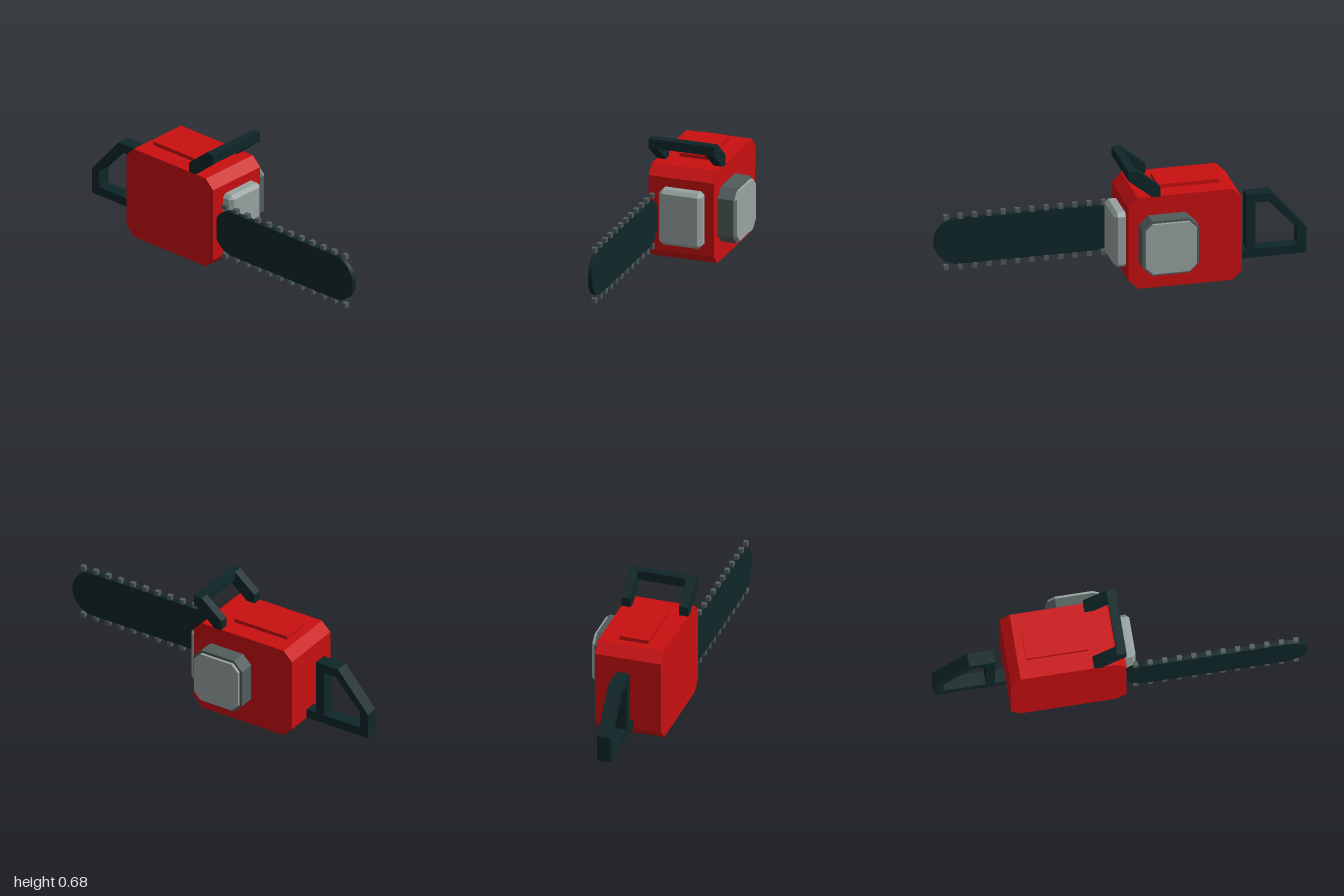
import * as THREE from 'three';

const paint = (name, color) => {
  const m = new THREE.MeshStandardMaterial({ color });
  m.name = name;
  return m;
};

// Rectangle outline with cut corners
function cutRect(x0, x1, y0, y1, c) {
  return [[x0 + c, y0], [x1 - c, y0], [x1, y0 + c], [x1, y1 - c],
    [x1 - c, y1], [x0 + c, y1], [x0, y1 - c], [x0, y0 + c]];
}

const toShape = (pts) => new THREE.Shape(pts.map(([x, y]) => new THREE.Vector2(x, y)));

// Straight extrusion of a shape between two depths
function slab(shape, z0, z1) {
  const g = new THREE.ExtrudeGeometry(shape, { depth: z1 - z0, bevelEnabled: false, curveSegments: 16 });
  return g.translate(0, 0, z0);
}

function box(x0, x1, y0, y1, z0, z1) {
  return new THREE.BoxGeometry(x1 - x0, y1 - y0, z1 - z0)
    .translate((x0 + x1) / 2, (y0 + y1) / 2, (z0 + z1) / 2);
}

// Cover along +z with one chamfered rim: w, h outer size, c chamfer
function chamferedCover(w, h, depth, c) {
  const a = cutRect(-w / 2, w / 2, -h / 2, h / 2, c);
  const clampTo = (v, m) => Math.max(-m, Math.min(m, v));
  const face = a.map(([x, y]) => [clampTo(x, w / 2 - c), clampTo(y, h / 2 - c)]);
  const rings = [[a, 0], [a, depth - c], [face, depth]];
  const pos = [], idx = [];
  rings.forEach(([pts, z]) => pts.forEach(([x, y]) => pos.push(x, y, z)));
  for (let r = 0; r < 2; r++) for (let i = 0; i < 8; i++) {
    const j = (i + 1) % 8, p = r * 8;
    idx.push(p + i, p + j, p + 8 + j, p + i, p + 8 + j, p + 8 + i);
  }
  for (let i = 1; i < 7; i++) idx.push(16, 16 + i, 17 + i);
  const g = new THREE.BufferGeometry();
  g.setAttribute('position', new THREE.Float32BufferAttribute(pos, 3));
  g.setIndex(idx);
  const flat = g.toNonIndexed();
  flat.computeVertexNormals();
  return flat;
}

export function createModel() {
  const red = paint('red casing', 0xc90f10);
  const dark = paint('dark grip', 0x0f2628);
  const steel = paint('light grey', 0x97a3a1);
  const iron = paint('dark grey', 0x505c5b);

  const model = new THREE.Group();
  model.name = 'chainsaw';
  const add = (name, geometry, material, parent = model) => {
    const mesh = new THREE.Mesh(geometry, material);
    mesh.name = name;
    parent.add(mesh);
    return mesh;
  };

  // Motor casing and its raised lid
  add('casing', slab(toShape(cutRect(-0.61, 0.015, 0, 0.525, 0.053)), -0.133, 0.24), red);
  add('lid', box(-0.51, -0.175, 0.515, 0.546, -0.028, 0.136), red);

  // Rear handle: closed loop with an opening
  const loop = toShape([[-1, 0.055], [-0.61, 0.055], [-0.61, 0.105], [-0.67, 0.105],
    [-0.67, 0.42], [-0.81, 0.42], [-1, 0.2]]);
  loop.holes.push(toShape([[-0.95, 0.105], [-0.95, 0.2], [-0.793, 0.37], [-0.72, 0.37], [-0.72, 0.105]]));
  add('rearHandle', slab(loop, 0.01, 0.085), dark);

  // Front handle: two slanted legs and a crossbar
  const frontHandle = new THREE.Group();
  frontHandle.name = 'frontHandle';
  model.add(frontHandle);
  const leg = toShape([[-0.16, 0.52], [-0.11, 0.52], [-0.11, 0.527], [0.015, 0.628],
    [0.015, 0.68], [-0.035, 0.68], [-0.16, 0.577]]);
  for (const z of [-0.133, 0.19]) add('frontHandleLeg', slab(leg, z, z + 0.05), dark, frontHandle);
  add('frontHandleBar', box(-0.035, 0.015, 0.628, 0.68, -0.083, 0.19), dark, frontHandle);

  // Guide bar with rounded ends
  const r = 0.13, midY = 0.237;
  const bar = new THREE.Shape();
  bar.absarc(1 - r, midY, r, -Math.PI / 2, Math.PI / 2, false);
  bar.absarc(0.13, midY, r, Math.PI / 2, Math.PI * 1.5, false);
  add('guideBar', slab(bar, 0.189, 0.214), dark);

  // Chain teeth along both edges
  const teeth = new THREE.Group();
  teeth.name = 'chainTeeth';
  model.add(teeth);
  const tooth = new THREE.BoxGeometry(0.027, 0.027, 0.025);
  for (let i = 0; i < 12; i++) for (const y of [0.0895, 0.3785]) {
    add('tooth', tooth, iron, teeth).position.set(0.07 + i * 0.0787, y, 0.2015);
  }

  // Cover on the bar end of the casing
  const cover = add('endCover', chamferedCover(0.243, 0.315, 0.063, 0.02), steel);
  cover.rotation.y = Math.PI / 2;
  cover.position.set(0.015, 0.2625, 0.0415);

  // Starter housing on the back with a lighter cap
  add('starterHousing', slab(toShape(cutRect(-0.35, -0.04, 0.105, 0.42, 0.052)), -0.222, -0.13), iron);
  add('starterCap', slab(toShape(cutRect(-0.335, -0.055, 0.12, 0.405, 0.04)), -0.239, -0.222), steel);

  return model;
}
